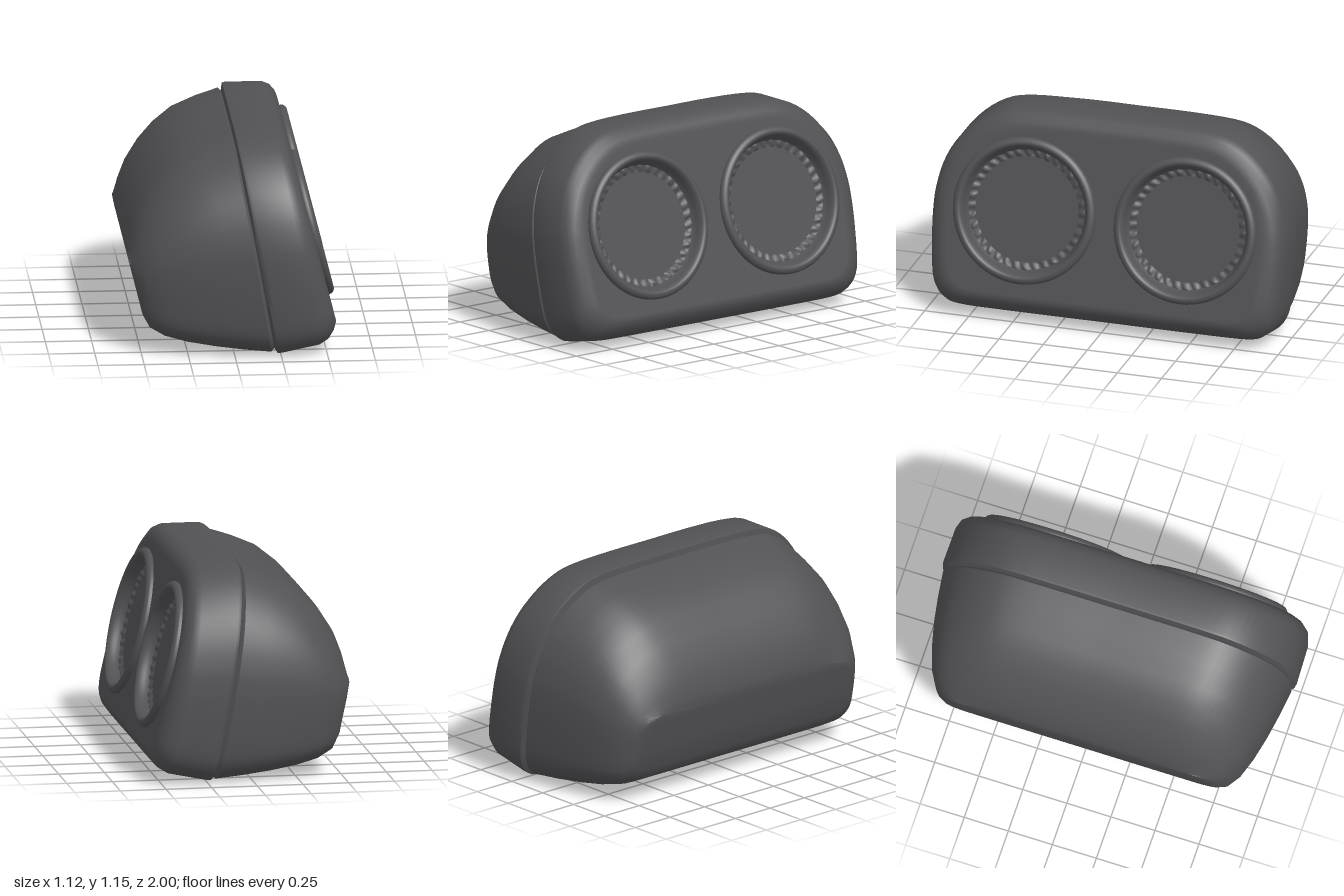
import * as THREE from 'three';
import { toCreasedNormals } from 'three/addons/utils/BufferGeometryUtils.js';

// half outline of the cabinet: (width 0..1, height 0..1), from top centre down to bottom centre
const HALF = new THREE.SplineCurve([
  [0, 1], [0.3, 1], [0.55, 0.99], [0.68, 0.96], [0.8, 0.89], [0.9, 0.79], [0.96, 0.68],
  [0.99, 0.57], [1, 0.48], [1, 0.35], [0.985, 0.16], [0.96, 0.08], [0.91, 0.03],
  [0.83, 0.005], [0.6, 0], [0, 0],
].map(([w, t]) => new THREE.Vector2(w, t))).getPoints(45);
const OUTLINE = [...HALF, ...HALF.slice(1, -1).reverse().map(p => new THREE.Vector2(-p.x, p.y))];

// sections run towards +x: [top x, top y, bottom x, bottom y, half width]
function loft(sections, capRear) {
  const pos = [], idx = [], n = OUTLINE.length;
  for (const [tx, ty, bx, by, hw] of sections)
    for (const p of OUTLINE) pos.push(bx + (tx - bx) * p.y, by + (ty - by) * p.y, p.x * hw);
  for (let i = 0; i < sections.length - 1; i++)
    for (let j = 0; j < n; j++) {
      const k = (j + 1) % n, a = i * n, d = a + n;
      idx.push(a + j, a + k, d + k, a + j, d + k, d + j);
    }
  if (capRear) {
    const [tx, ty, bx, by] = sections[0], c = pos.length / 3;
    pos.push((tx + bx) / 2, (ty + by) / 2, 0);
    for (let j = 0; j < n; j++) idx.push(c, (j + 1) % n, j);
  }
  const g = new THREE.BufferGeometry();
  g.setAttribute('position', new THREE.Float32BufferAttribute(pos, 3));
  g.setIndex(idx);
  return toCreasedNormals(g, 0.8);
}

export function createModel() {
  const model = new THREE.Group();
  model.name = 'twinSpeaker';
  const charcoal = new THREE.MeshStandardMaterial({ color: 0x525255, side: THREE.DoubleSide });
  charcoal.name = 'charcoal';
  const add = (geometry, name, parent = model) => {
    const mesh = new THREE.Mesh(geometry, charcoal);
    mesh.name = name;
    parent.add(mesh);
    return mesh;
  };

  // domed rear housing
  add(loft([
    [-0.565, 0.53, -0.55, 0.45, 0.69],
    [-0.56, 0.57, -0.52, 0.33, 0.74],
    [-0.54, 0.65, -0.485, 0.19, 0.79],
    [-0.5, 0.75, -0.45, 0.13, 0.835],
    [-0.43, 0.86, -0.37, 0.09, 0.88],
    [-0.35, 0.95, -0.25, 0.062, 0.915],
    [-0.25, 1.03, -0.1, 0.04, 0.945],
    [-0.12, 1.085, 0.05, 0.024, 0.968],
    [0.005, 1.125, 0.2, 0.012, 0.985],
    [0.02, 1.11, 0.215, 0.03, 0.972],
  ], true), 'rearHousing');

  // front shell with a small groove where it meets the housing
  const rim = [0.325, 1.06, 0.55, 0.18, 0.875];
  add(loft([
    [0.02, 1.11, 0.215, 0.03, 0.972],
    [0.026, 1.15, 0.235, 0.005, 0.995],
    [0.04, 1.155, 0.26, 0.009, 1],
    [0.24, 1.155, 0.46, 0.05, 0.995],
    [0.28, 1.14, 0.51, 0.08, 0.98],
    [0.308, 1.11, 0.54, 0.12, 0.945],
    [0.32, 1.08, 0.555, 0.16, 0.905],
    rim,
  ]), 'frontShell');

  // tilted baffle frame: local z points out of the front
  const [tx, ty, bx, by, hw] = rim;
  const length = Math.hypot(tx - bx, ty - by);
  const up = new THREE.Vector3((tx - bx) / length, (ty - by) / length, 0);
  const right = new THREE.Vector3(0, 0, -1);
  const t0 = 0.517;
  const baffle = new THREE.Group();
  baffle.name = 'baffle';
  baffle.quaternion.setFromRotationMatrix(
    new THREE.Matrix4().makeBasis(right, up, right.clone().cross(up)));
  baffle.position.set(bx + (tx - bx) * t0, by + (ty - by) * t0, 0);
  model.add(baffle);

  // front panel with two round openings
  const panel = new THREE.Shape(OUTLINE.map(p => new THREE.Vector2(p.x * hw, (p.y - t0) * length)));
  for (const s of [-1, 1])
    panel.holes.push(new THREE.Path().absarc(s * 0.455, 0, 0.37, 0, Math.PI * 2, true));
  add(new THREE.ShapeGeometry(panel, 32), 'frontPanel', baffle);

  // rolled trim ring
  const ringCurve = new THREE.SplineCurve([
    [0.4, -0.012], [0.402, 0.012], [0.39, 0.028], [0.372, 0.034], [0.358, 0.026],
    [0.347, 0.008], [0.338, -0.018], [0.328, -0.036],
  ].map(p => new THREE.Vector2(...p)));
  const ringGeometry = new THREE.LatheGeometry(ringCurve.getPoints(20), 64).rotateX(Math.PI / 2);

  // pleated surround, rippled around its circumference
  const pleats = new THREE.LatheGeometry(
    [[0.332, -0.034], [0.32, -0.036], [0.305, -0.04], [0.29, -0.046]]
      .map(p => new THREE.Vector2(...p)), 144).rotateX(Math.PI / 2);
  const pp = pleats.attributes.position;
  for (let i = 0; i < pp.count; i++) {
    const x = pp.getX(i), y = pp.getY(i), r = Math.hypot(x, y), a = Math.atan2(y, x);
    if (r > 0.3 && r < 0.325) pp.setZ(i, pp.getZ(i) + 0.009 * Math.sin(a * 36) + 0.004 * Math.sin(a * 11));
  }
  pleats.computeVertexNormals();

  // flat cone
  const cone = new THREE.CircleGeometry(0.295, 64).translate(0, 0, -0.046);

  for (const [s, side] of [[-1, 'left'], [1, 'right']]) {
    const driver = new THREE.Group();
    driver.name = side + 'Driver';
    driver.position.x = s * 0.455;
    add(ringGeometry, 'trimRing', driver);
    add(pleats, 'surround', driver);
    add(cone, 'cone', driver);
    baffle.add(driver);
  }
  return model;
}
